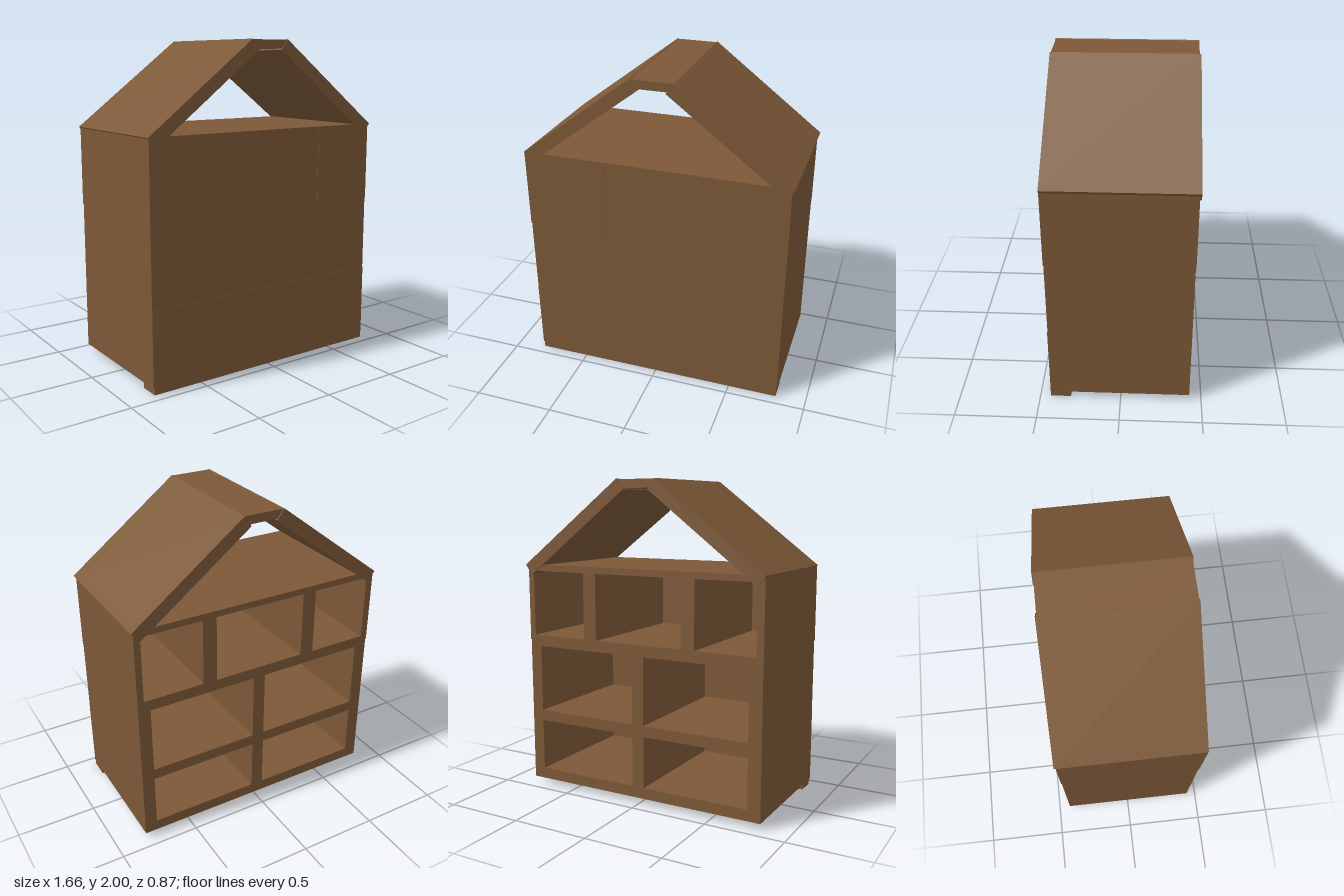
import * as THREE from 'three';

const wood = new THREE.MeshStandardMaterial({ color: 0x7c5837 });
wood.name = 'brown wood';

export function createModel() {
  const house = new THREE.Group();
  house.name = 'houseShelf';

  // Box given by its limits on each axis
  function board(name, x0, x1, y0, y1, z0 = -0.425, z1 = 0.415) {
    const mesh = new THREE.Mesh(new THREE.BoxGeometry(x1 - x0, y1 - y0, z1 - z0), wood);
    mesh.position.set((x0 + x1) / 2, (y0 + y1) / 2, (z0 + z1) / 2);
    mesh.name = name;
    house.add(mesh);
  }

  // Cross-section in x and y, run along the depth
  function beam(name, points, z0, z1) {
    const shape = new THREE.Shape(points.map(([x, y]) => new THREE.Vector2(x, y)));
    const geometry = new THREE.ExtrudeGeometry(shape, { depth: z1 - z0, bevelEnabled: false });
    geometry.translate(0, 0, z0);
    const mesh = new THREE.Mesh(geometry, wood);
    mesh.name = name;
    house.add(mesh);
  }

  // Plinth strip under the closed front
  board('plinth', -0.815, 0.81, 0, 0.04, 0.31, 0.435);

  // Lower storeys: thick walls, floor, divider and shelves
  board('lowerRightWall', -0.822, -0.738, 0.04, 0.98);
  board('lowerLeftWall', 0.735, 0.813, 0.04, 0.98);
  board('lowerDivider', -0.04, 0.04, 0.11, 0.94);
  board('floor', -0.738, 0.735, 0.04, 0.11);
  board('lowerCeiling', -0.738, 0.735, 0.94, 0.98);
  for (const [x0, x1] of [[-0.738, -0.04], [0.04, 0.735]]) {
    board('middleShelf', x0, x1, 0.44, 0.51);
  }

  // Upper storey: thin walls, two dividers and the attic floor
  board('upperFloor', -0.825, 0.815, 0.98, 1.012, -0.428);
  board('upperRightWall', -0.825, -0.78, 1.012, 1.47, -0.428);
  board('upperLeftWall', 0.775, 0.815, 1.012, 1.47, -0.428);
  for (const x of [-0.39, 0.3]) board('upperDivider', x, x + 0.09, 1.012, 1.43, -0.428);
  board('atticFloor', -0.78, 0.775, 1.43, 1.47, -0.428);

  // Closed front made of panels with slightly stepped faces
  board('lowerFrontPanel', -0.822, 0.813, 0.04, 0.5, 0.415, 0.435);
  board('middleFrontPanel', -0.822, 0.813, 0.5, 0.98, 0.415, 0.432);
  board('upperFrontPanel', -0.825, -0.3, 0.98, 1.47, 0.415, 0.435);
  board('upperFrontPanel', -0.3, 0.39, 0.98, 1.47, 0.415, 0.432);
  board('upperFrontPanel', 0.39, 0.815, 0.98, 1.47, 0.415, 0.435);

  // Sloping roof boards, square cut, and the flat ridge between them
  const slope = [[0.83, 1.468], [0.13, 2.0], [0.083, 1.937], [0.783, 1.405]];
  beam('leftRoofBoard', slope, -0.438, 0.435);
  beam('rightRoofBoard', slope.map(([x, y]) => [-x, y]).reverse(), -0.438, 0.435);
  beam('ridgeBoard', [[-0.128, 1.997], [-0.09, 1.945], [0.09, 1.945], [0.128, 1.997]], -0.43, 0.43);

  return house;
}
